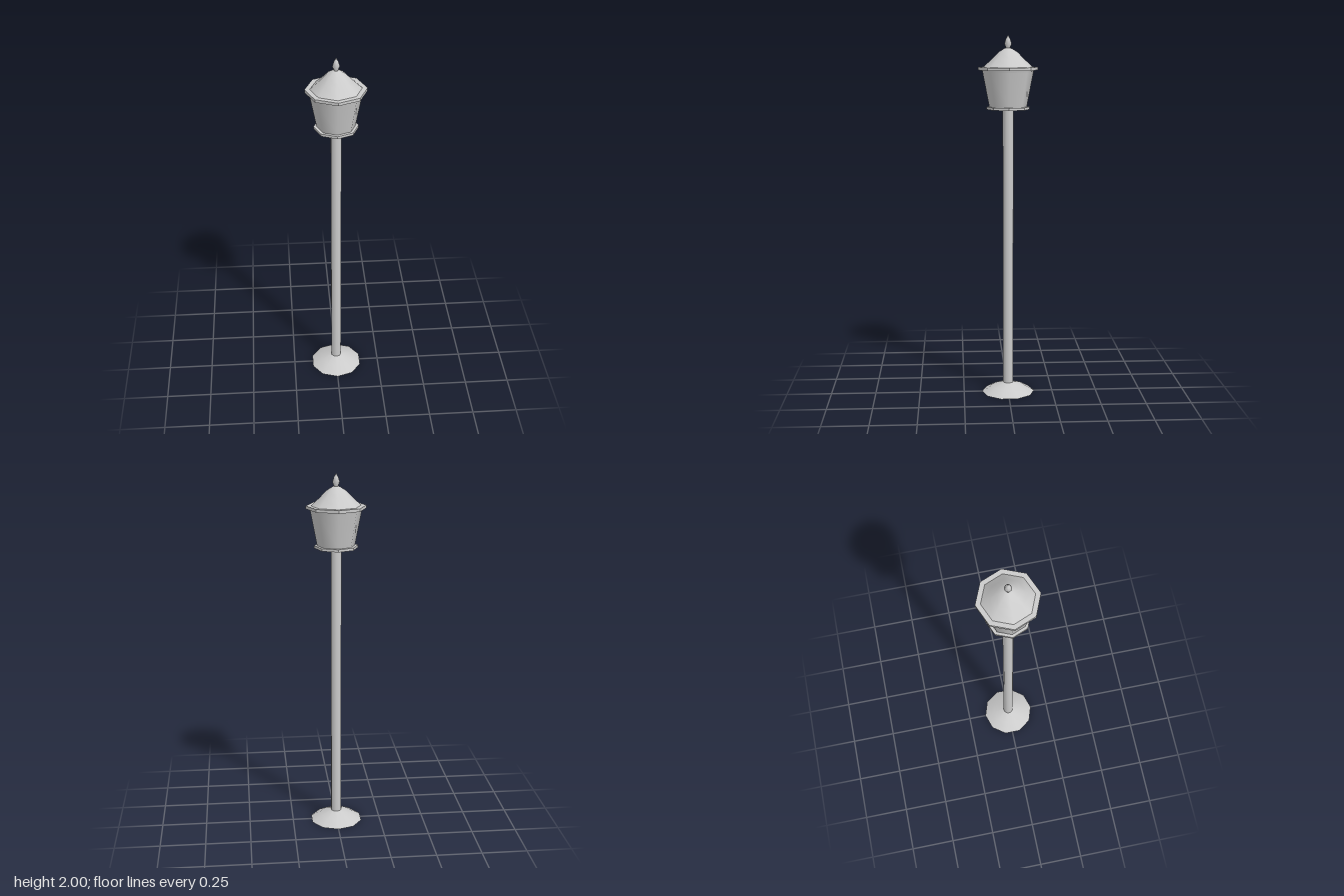
import * as THREE from 'three';

const smooth = new THREE.MeshStandardMaterial({ color: 0xcccccc, side: THREE.DoubleSide });
const flat = new THREE.MeshStandardMaterial({ color: 0xcccccc, flatShading: true });

export function createModel() {
  const group = new THREE.Group();

  const add = (name, geometry, material, y = 0) => {
    const mesh = new THREE.Mesh(geometry, material);
    mesh.name = name;
    mesh.position.y = y;
    group.add(mesh);
  };

  // Smooth turned part from [radius, height] pairs, bottom to top
  const turned = (name, sides, points) =>
    add(name, new THREE.LatheGeometry(points.map(([r, y]) => new THREE.Vector2(r, y)), sides), smooth);

  // Flat octagonal plate between two heights
  const plate = (name, radius, y0, y1) =>
    add(name, new THREE.CylinderGeometry(radius, radius, y1 - y0, 8), flat, (y0 + y1) / 2);

  // Hollow domed foot and open tubular post
  turned('foot', 10, [[0.148, 0], [0.09, 0.033], [0.029, 0.055]]);
  turned('post', 10, [[0.029, 0.055], [0.029, 1.605]]);

  // Lantern: floor plate, tapered glass, collar and eave plate
  plate('lanternFloor', 0.118, 1.6, 1.614);
  turned('lanternGlass', 8, [[0.102, 1.614], [0.138, 1.802]]);
  turned('lanternCollar', 8, [[0.138, 1.802], [0.141, 1.814]]);
  plate('eave', 0.162, 1.812, 1.828);

  // Bell-shaped roof and pointed finial
  turned('roof', 8, [[0.135, 1.828], [0.088, 1.871], [0.052, 1.908], [0.02, 1.928], [0, 1.932]]);
  turned('finial', 8, [[0.009, 1.925], [0.02, 1.953], [0.012, 1.978], [0, 2]]);

  return group;
}
